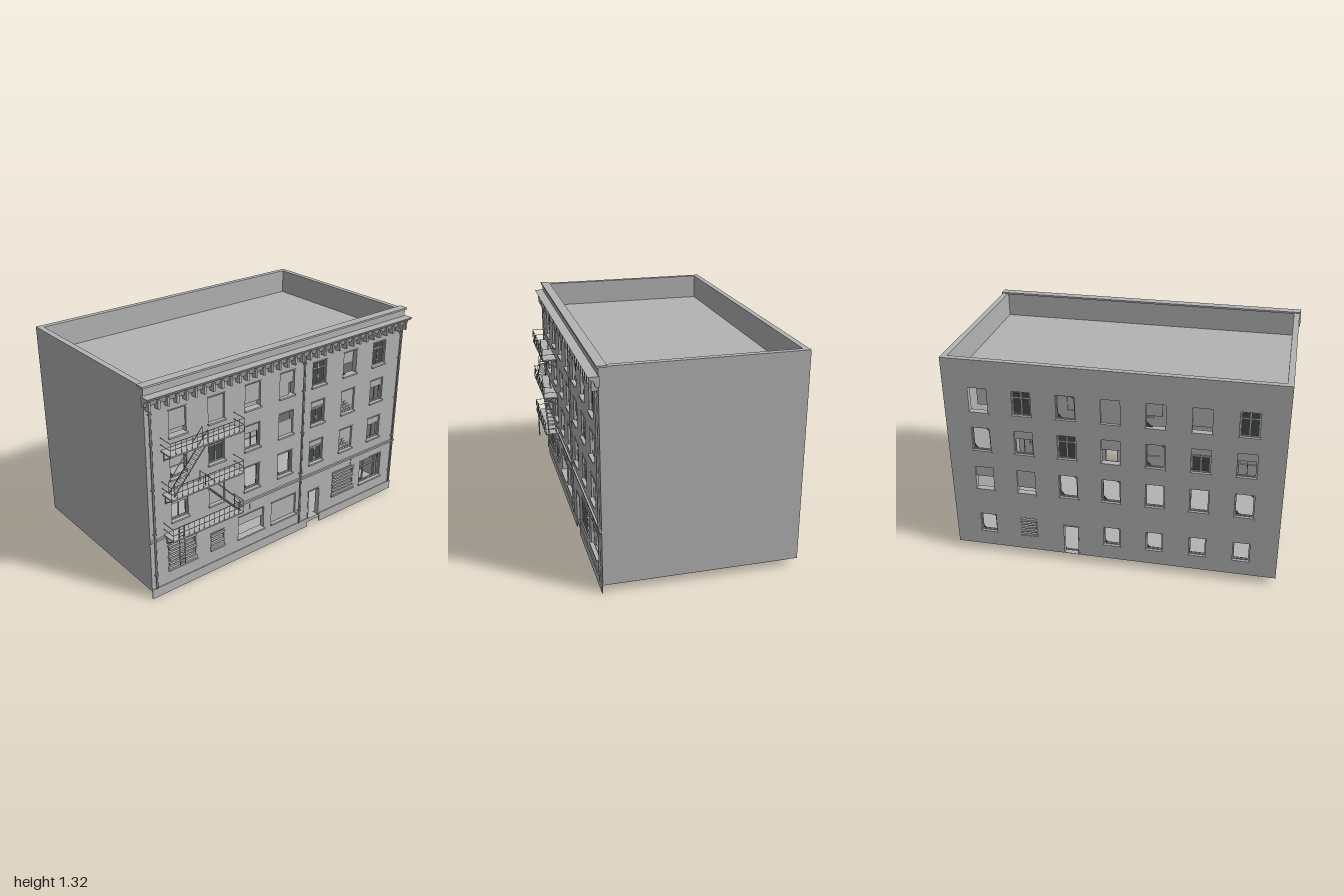
import * as THREE from 'three';

const wallMat = new THREE.MeshStandardMaterial({ color: 0xb3b3b3 });
wallMat.name = 'grey masonry';
const glassMat = new THREE.MeshStandardMaterial({ color: 0x434b48, side: THREE.DoubleSide });
glassMat.name = 'dark glass';

const WALL = 0.035;
const COLS = [-0.783, -0.523, -0.263, -0.003, 0.257, 0.517, 0.777];

function add(parent, name, geo, mat = wallMat) {
  const m = new THREE.Mesh(geo, mat);
  m.name = name;
  parent.add(m);
  return m;
}

function box(parent, name, x0, x1, y0, y1, z0, z1, mat) {
  const m = add(parent, name, new THREE.BoxGeometry(x1 - x0, y1 - y0, z1 - z0), mat);
  m.position.set((x0 + x1) / 2, (y0 + y1) / 2, (z0 + z1) / 2);
  return m;
}

// Thin round bar between two points
function bar(parent, name, a, b, r = 0.002) {
  const A = new THREE.Vector3(...a), B = new THREE.Vector3(...b), d = B.clone().sub(A);
  const m = add(parent, name, new THREE.CylinderGeometry(r, r, d.length(), 6));
  m.position.copy(A).add(B).multiplyScalar(0.5);
  m.quaternion.setFromUnitVectors(new THREE.Vector3(0, 1, 0), d.normalize());
}

// Closed-off areas of each opening, as fractions [u0, v0, u1, v1]
const FILLS = {
  O: [], D: [], X: [],
  h: [[0, 0.68, 1, 1]], d: [[0, 0.72, 1, 1]], s: [[0, 0.22, 1, 1]],
  q: [[0, 0.55, 1, 1]], U: [[0, 0, 1, 0.62]],
  L: [[0, 0.48, 0.82, 1]],
  n: [[0, 0, 0.72, 1], [0.72, 0.5, 1, 1]],
  N: [[0.45, 0.3, 1, 1]],
  P: [[0, 0, 1, 1]], B: [[0, 0, 1, 1]], S: [[0, 0, 1, 1]],
};

function shard(parent, pts, z) {
  const s = new THREE.Shape(pts.map(p => new THREE.Vector2(...p)));
  add(parent, 'brokenGlass', new THREE.ShapeGeometry(s), glassMat).position.z = z;
}

// One opening's contents; local z = 0 is the outer wall face
function fillWindow(f, { x, y, w, h, code }, trim) {
  const g = new THREE.Group();
  g.name = 'window';
  f.add(g);
  const l = x - w / 2, r = x + w / 2, t = y + h, zi = -0.018;
  for (const [a, b, c, d] of FILLS[code])
    box(g, 'boardedPanel', l + a * w, l + c * w, y + b * h, y + d * h, -0.025, -0.012);
  if ('DdXhO'.includes(code)) {
    const top = 'dh'.includes(code) ? y + h * 0.7 : t;
    for (const e of [l, r - 0.007]) box(g, 'frameSide', e, e + 0.007, y, top, zi - 0.005, zi + 0.006);
    for (const e of [y, top - 0.007]) box(g, 'frameRail', l, r, e, e + 0.007, zi - 0.005, zi + 0.006);
    if (code === 'D' || code === 'd') {
      box(g, 'darkPane', l, r, y, top, zi - 0.002, zi + 0.002, glassMat);
      box(g, 'mullion', x - 0.003, x + 0.003, y, top, zi - 0.004, zi + 0.005);
    }
    if (code === 'D') box(g, 'transom', l, r, y + h * 0.7, y + h * 0.7 + 0.006, zi - 0.004, zi + 0.005);
    if (code === 'h') box(g, 'mullion', x - 0.002, x + 0.002, y, top, zi - 0.004, zi + 0.004);
  }
  if (code === 'X') {
    shard(g, [[l, y], [l + w * 0.35, y], [l, y + h * 0.3]], zi);
    shard(g, [[r, t], [r - w * 0.3, t], [r, t - h * 0.25]], zi);
  }
  if (code === 'L') shard(g, [[l, y], [l + w * 0.35, y], [l, y + h * 0.22]], zi);
  // Stepped loose bricks
  if (code === 'B') for (let i = 0; i < 5; i++) for (let j = 0; j < 5 - i; j++) {
    const bx = l + (j + (i % 2) * 0.4) * w / 5;
    box(g, 'brick', bx, bx + w / 5 - 0.003, y + i * 0.02 + 0.002, y + i * 0.02 + 0.018, -0.014, -0.008);
  }
  // Uneven planks
  if (code === 'S') {
    const n = Math.round(h / 0.024);
    for (let i = 0; i < n; i++) {
      const e = w * 0.06 * ((i * 7) % 3), py = y + (i + 0.15) * h / n;
      box(g, 'plank', l - 0.005 + e * 0.5, r + 0.005 - e, py, py + 0.015, -0.012, 0.006);
    }
  }
  if (trim) {
    box(g, 'sill', l - 0.006, r + 0.006, y - 0.01, y, -0.01, trim);
    if (trim > 0.008) box(g, 'lintel', l - 0.004, r + 0.004, t, t + 0.006, -0.005, 0.004);
  }
}

// Wall with holes for all openings, plus their contents
function facade(parent, name, wins, door) {
  const f = new THREE.Group();
  f.name = name;
  parent.add(f);
  const rect = (P, a, b, c, d) => new P().moveTo(a, b).lineTo(c, b).lineTo(c, d).lineTo(a, d).closePath();
  const s = rect(THREE.Shape, -0.99, 0.05, 0.99, 1.31);
  for (const q of wins) s.holes.push(rect(THREE.Path, q.x - q.w / 2, q.y, q.x + q.w / 2, q.y + q.h));
  s.holes.push(rect(THREE.Path, door - 0.05, 0.052, door + 0.05, 0.26));
  const geo = new THREE.ExtrudeGeometry(s, { depth: WALL, bevelEnabled: false });
  add(f, name + 'Wall', geo.translate(0, 0, -WALL));
  for (const e of [door - 0.05, door + 0.044]) box(f, 'doorJamb', e, e + 0.006, 0.052, 0.26, -0.03, 0.003);
  box(f, 'doorHead', door - 0.05, door + 0.05, 0.252, 0.26, -0.03, 0.003);
  return f;
}

function upperWindows(rows) {
  const Y = [0.982, 0.725, 0.458];
  return rows.flatMap((row, i) => [...row].map((code, j) => ({ x: COLS[j], y: Y[i], w: 0.112, h: 0.153, code })));
}

function fireEscape(parent) {
  const g = new THREE.Group();
  g.name = 'fireEscape';
  parent.add(g);
  const x0 = -0.9, x1 = -0.405, zf = 0.626, zb = 0.535;
  for (const y of [0.92, 0.655, 0.395]) {
    box(g, 'deck', x0, x1, y - 0.004, y + 0.004, zb, zf + 0.002);
    for (const h of [0.04, 0.08]) {
      bar(g, 'frontRail', [x0, y + h, zf], [x1, y + h, zf]);
      for (const x of [x0, x1]) bar(g, 'sideRail', [x, y + h, zb], [x, y + h, zf]);
    }
    for (let i = 0; i <= 14; i++) {
      const x = x0 + (x1 - x0) * i / 14;
      bar(g, 'baluster', [x, y, zf], [x, y + 0.08, zf], 0.0014);
    }
    for (const x of [x0 + 0.02, -0.652, x1 - 0.02]) {
      bar(g, 'brace', [x, y - 0.003, zf], [x, y - 0.06, zb], 0.003);
      bar(g, 'wallPost', [x, y, zb], [x, y - 0.065, zb], 0.003);
    }
  }
  // Stair flights between the decks
  for (const [xa, ya, xb, yb] of [[-0.87, 0.66, -0.64, 0.92], [-0.415, 0.4, -0.66, 0.655]]) {
    for (const z of [0.555, 0.605]) {
      bar(g, 'stringer', [xa, ya, z], [xb, yb, z], 0.003);
      bar(g, 'handrail', [xa, ya + 0.07, z], [xb, yb + 0.075, z]);
      bar(g, 'newel', [xa, ya, z], [xa, ya + 0.07, z]);
      bar(g, 'newel', [xb, yb, z], [xb, yb + 0.075, z]);
    }
    for (let i = 1; i < 12; i++) {
      const x = xa + (xb - xa) * i / 12, y = ya + (yb - ya) * i / 12;
      box(g, 'tread', x - 0.008, x + 0.008, y - 0.001, y + 0.001, 0.555, 0.605);
    }
  }
  // Drop ladder
  for (const x of [-0.855, -0.82]) bar(g, 'ladderRail', [x, 0.22, 0.62], [x, 0.475, 0.62], 0.0025);
  for (let y = 0.235; y < 0.46; y += 0.022) bar(g, 'rung', [-0.855, y, 0.62], [-0.82, y, 0.62], 0.0015);
}

export function createModel() {
  const root = new THREE.Group();
  root.name = 'building';

  // Shell
  for (const s of [-1, 1])
    box(root, 'sideWall', Math.min(s * 0.99, s * 0.955), Math.max(s * 0.99, s * 0.955), 0.05, 1.31, -0.585, 0.495);
  box(root, 'roof', -0.956, 0.956, 1.14, 1.155, -0.586, 0.496);
  box(root, 'floor', -0.96, 0.96, 0.03, 0.053, -0.575, 0.49);
  box(root, 'frontParapetCap', -0.998, 0.998, 1.305, 1.316, 0.484, 0.54);
  box(root, 'baseSkirt', -0.99, 0.205, 0, 0.06, 0.529, 0.535);
  box(root, 'baseSkirt', 0.31, 0.99, 0, 0.06, 0.529, 0.535);
  box(root, 'doorStep', 0.205, 0.31, 0.03, 0.052, 0.485, 0.53);

  // Front: upper floors and shopfronts
  const front = [
    ...upperWindows(['sPsnDLD', 'XDhUdBh', 'hPXXdBh']),
    { x: -0.775, y: 0.15, w: 0.19, h: 0.17, code: 'S' },
    { x: -0.523, y: 0.155, w: 0.095, h: 0.105, code: 'S' },
    { x: -0.265, y: 0.145, w: 0.2, h: 0.145, code: 'q' },
    { x: -0.003, y: 0.145, w: 0.2, h: 0.145, code: 'P' },
    { x: 0.515, y: 0.15, w: 0.19, h: 0.165, code: 'S' },
    { x: 0.775, y: 0.145, w: 0.2, h: 0.172, code: 'X' },
  ];
  const f = facade(root, 'front', front, 0.257);
  f.position.z = 0.53;
  front.forEach(q => fillWindow(f, q, 0.012));
  box(f, 'shopTransom', 0.675, 0.875, 0.255, 0.262, -0.024, -0.012);
  for (const x of [0.722, 0.828]) box(f, 'shopMullion', x - 0.003, x + 0.003, 0.145, 0.317, -0.024, -0.012);

  // Back: listed from the left as seen from behind
  const back = upperWindows(['NDXPLsD', 'XhDqXdh', 'qsXXOOX']);
  [...'XS.XXOO'].forEach((code, j) => {
    if (code !== '.') back.push({ x: COLS[j], y: 0.15, w: 0.1, h: 0.125, code });
  });
  const b = facade(root, 'back', back, -0.257);
  b.position.z = -0.62;
  b.rotation.y = Math.PI;
  back.forEach(q => fillWindow(b, q, 0.005));

  // String courses above the shopfronts
  box(root, 'stringCourse', -0.99, 0.99, 0.374, 0.386, 0.528, 0.542);
  for (const [a, c, y] of [[-0.96, -0.28, 0.36], [-0.28, -0.11, 0.322], [0.02, 0.53, 0.36], [0.58, 0.75, 0.322], [0.75, 0.96, 0.36]])
    box(root, 'plasterEdge', a, c, y, 0.374, 0.528, 0.534);

  // Cornice with brackets
  const prof = [[0.525, 1.205], [0.545, 1.205], [0.555, 1.235], [0.575, 1.245], [0.585, 1.262], [0.525, 1.262]];
  const corn = new THREE.ExtrudeGeometry(new THREE.Shape(prof.map(p => new THREE.Vector2(...p))), { depth: 2, bevelEnabled: false });
  add(root, 'cornice', corn.rotateY(-Math.PI / 2).translate(1, 0, 0));
  for (let i = 0; i < 34; i++) {
    const x = -0.975 + i * 1.95 / 33;
    box(root, 'corniceBracket', x - 0.007, x + 0.007, 1.18, 1.23, 0.528, 0.565);
  }

  // Drainpipes
  for (const x of [-0.962, 0.125, 0.962]) {
    bar(root, 'drainpipe', [x, 0.065, 0.54], [x, 1.2, 0.54], 0.006);
    for (const y of [0.15, 0.42, 0.7, 0.98, 1.15]) box(root, 'pipeClamp', x - 0.008, x + 0.008, y, y + 0.008, 0.528, 0.548);
  }

  fireEscape(root);
  return root;
}
